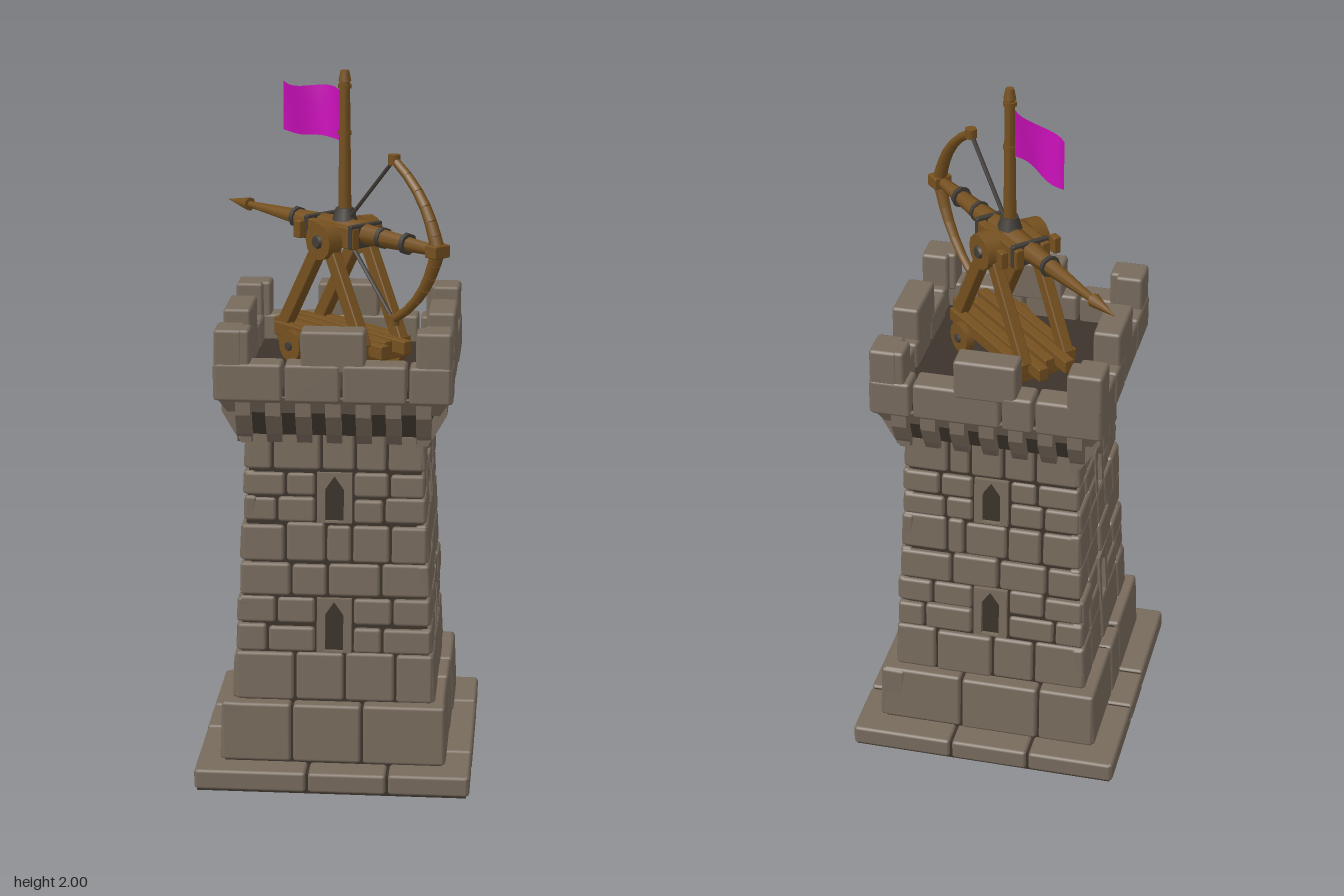
import * as THREE from 'three';
import { mergeGeometries } from 'three/addons/utils/BufferGeometryUtils.js';
import { RoundedBoxGeometry } from 'three/addons/geometries/RoundedBoxGeometry.js';

const material = (name, color) => {
  const m = new THREE.MeshStandardMaterial({ color });
  m.name = name;
  return m;
};

export function createModel() {
  const stone = material('stone', 0x786b5d);
  const mortar = material('mortar', 0x3b332b);
  const wood = material('wood', 0x75501f);
  const iron = material('iron', 0x413c36);
  const cloth = material('cloth', 0xc40fb4);
  cloth.side = THREE.DoubleSide;

  const model = new THREE.Group();
  const V = (x, y, z) => new THREE.Vector3(x, y, z);
  let seed = 7;
  const rand = () => (seed = (seed * 16807) % 2147483647) / 2147483647;

  function add(parent, name, geometry, mat) {
    const mesh = new THREE.Mesh(geometry, mat);
    mesh.name = name;
    parent.add(mesh);
    return mesh;
  }

  // ---- Tower: square plan standing on its diagonal ----
  const tower = new THREE.Group();
  tower.name = 'tower';
  model.add(tower);

  // Four-sided frustum; radii are corner distances
  function frustum(name, y0, y1, r0, r1, mat) {
    const g = new THREE.CylinderGeometry(r1, r0, y1 - y0, 4).toNonIndexed();
    g.computeVertexNormals();
    add(tower, name, g, mat).position.y = (y0 + y1) / 2;
  }
  // Turn a face-local geometry onto side k
  const onSide = (g, k) => g.rotateY(Math.PI / 4 + k * Math.PI / 2);

  // One stone block: u along the wall, s the distance of its outer face
  function block(u0, u1, y0, y1, s, depth, tilt, gap = 0.007) {
    const g = new RoundedBoxGeometry(u1 - u0 - gap, y1 - y0 - gap, depth, 1, 0.009);
    g.translate(0, 0, -depth / 2);
    g.rotateX(-tilt);
    return g.translate((u0 + u1) / 2, (y0 + y1) / 2, s);
  }
  // A course of uneven blocks round all sides, with an optional central opening
  function course(name, y0, y1, s, depth, tilt, count, jitter, opening = 0) {
    const parts = [];
    for (let k = 0; k < 4; k++) {
      const spans = opening ? [[-s, -opening], [opening, s]] : [[-s, s]];
      for (const [a, b] of spans) {
        const n = opening ? Math.ceil(count / 2) : count;
        const cuts = [a];
        for (let i = 1; i < n; i++) cuts.push(a + (b - a) * (i + (rand() - 0.5) * 0.55) / n);
        cuts.push(b);
        for (let i = 0; i < n; i++) {
          const out = s + (rand() - 0.5) * jitter;
          const top = y1 - (rand() - 0.5) * jitter;
          parts.push(onSide(block(cuts[i], cuts[i + 1], y0, top, out, depth, tilt), k));
        }
      }
    }
    add(tower, name, mergeGeometries(parts), stone);
  }

  // Footing and plinth
  frustum('footingCore', 0, 0.057, 0.54, 0.54, mortar);
  course('footing', 0.002, 0.068, 0.391, 0.11, 0, 3, 0.002);
  frustum('plinthCore', 0.05, 0.232, 0.438, 0.425, mortar);
  course('plinth', 0.066, 0.244, 0.32, 0.07, 0.04, 3, 0.008);

  // Tapering shaft
  const wall = y => 0.287 - (y - 0.24) * 0.05;
  frustum('shaftCore', 0.22, 1.1, 0.388, 0.328, mortar);
  const rows = [0.24, 0.385, 0.55, 0.65, 0.765, 0.915, 1.03];
  for (let i = 0; i < rows.length - 1; i++) {
    const mid = (rows[i] + rows[i + 1]) / 2;
    const slit = i === 1 || i === 4;
    const half = slit ? 2 : 1;
    for (let j = 0; j < half; j++) {
      const h = (rows[i + 1] - rows[i]) / half, y = rows[i] + j * h;
      course('shaftCourse', y, y + h, wall(slit ? y + h / 2 : mid), 0.035, 0.05,
        slit ? 4 : 4 + (i % 2), 0.009, slit ? 0.052 : 0);
    }
  }

  // Arrow slits: stone surround with a pointed opening
  function slitSurround(y0, y1) {
    const h = y1 - y0;
    const shape = new THREE.Shape();
    shape.moveTo(-0.049, 0.003).lineTo(0.049, 0.003).lineTo(0.049, h - 0.003).lineTo(-0.049, h - 0.003);
    const hole = new THREE.Path();
    hole.moveTo(-0.026, 0.008).lineTo(-0.026, h - 0.05).lineTo(0, h - 0.012)
      .lineTo(0.026, h - 0.05).lineTo(0.026, 0.008);
    shape.holes.push(hole);
    const g = new THREE.ExtrudeGeometry(shape, { depth: 0.03, bevelEnabled: false });
    return g.translate(0, 0, -0.03).rotateX(-0.05).translate(0, y0, wall(y0) + 0.001);
  }
  for (const [y0, y1] of [[0.385, 0.55], [0.765, 0.915]]) {
    const parts = [0, 1, 2, 3].map(k => onSide(slitSurround(y0, y1), k));
    add(tower, 'arrowSlits', mergeGeometries(parts), stone);
  }

  // Corbels below the parapet
  const bracket = new THREE.Shape();
  bracket.moveTo(0.23, 1.0).lineTo(0.258, 1.0).lineTo(0.278, 1.03).lineTo(0.312, 1.09)
    .lineTo(0.312, 1.13).lineTo(0.23, 1.13);
  const corbels = [];
  for (let k = 0; k < 4; k++) {
    for (let i = 0; i < 7; i++) {
      const w = 0.042, u = (i - 3) * 0.083;
      const g = new THREE.ExtrudeGeometry(bracket, { depth: w, bevelEnabled: false });
      corbels.push(onSide(g.translate(0, 0, -w / 2).rotateY(-Math.PI / 2).translate(u, 0, 0), k));
    }
  }
  add(tower, 'corbels', mergeGeometries(corbels), stone);
  frustum('corbelCore', 1.02, 1.11, 0.352, 0.4, mortar);
  frustum('parapetUnderside', 1.095, 1.145, 0.415, 0.455, stone);

  // Roof floor, parapet wall and merlons
  frustum('roofFloor', 1.12, 1.165, 0.43, 0.43, mortar);
  course('parapet', 1.13, 1.243, 0.328, 0.08, 0, 4, 0.005);
  const merlons = [];
  for (let k = 0; k < 4; k++) {
    for (const [a, b] of [[-0.328, -0.226], [-0.09, 0.09], [0.226, 0.328]]) {
      merlons.push(onSide(block(a, b, 1.215, 1.336, 0.328 - rand() * 0.004, 0.078, 0, 0.003), k));
    }
  }
  add(tower, 'merlons', mergeGeometries(merlons), stone);

  // ---- Siege engine on the roof ----
  const engine = new THREE.Group();
  engine.name = 'siegeEngine';
  model.add(engine);

  function beam(name, a, b, w, h, mat = wood) {
    const m = add(engine, name, new RoundedBoxGeometry(w, h, a.distanceTo(b), 1, 0.004), mat);
    m.position.copy(a).add(b).multiplyScalar(0.5);
    m.lookAt(b);
    return m;
  }
  function rod(name, a, b, r0, r1, mat = wood, sides = 8) {
    const g = new THREE.CylinderGeometry(r1, r0, a.distanceTo(b), sides);
    const m = add(engine, name, g, mat);
    m.position.copy(a).add(b).multiplyScalar(0.5);
    m.quaternion.setFromUnitVectors(V(0, 1, 0), b.clone().sub(a).normalize());
  }

  // Chassis planks, cross beams and wheels
  for (const [x, end] of [[0, 0.2], [0.042, 0.235], [0.078, 0.19]]) {
    for (const side of x ? [-1, 1] : [1]) {
      beam('chassisPlank', V(side * x, 1.245, -end), V(side * x, 1.245, end), 0.031, 0.04);
    }
  }
  for (const z of [-0.17, -0.11, 0.11, 0.17]) {
    beam('crossBeam', V(-0.088, 1.22, z), V(0.088, 1.22, z), 0.03, 0.03);
  }
  for (const side of [-1, 1]) {
    for (const z of [-0.1, 0.11]) {
      rod('wheel', V(side * 0.086, 1.21, z), V(side * 0.112, 1.21, z), 0.045, 0.045, wood, 14);
      rod('wheelHub', V(side * 0.11, 1.21, z), V(side * 0.119, 1.21, z), 0.014, 0.012, iron);
    }
    // Splayed legs meeting at the pivot
    for (const end of [-1, 1]) {
      beam('leg', V(side * 0.068, 1.25, end * 0.175), V(side * 0.068, 1.55, 0.012), 0.032, 0.04);
    }
    // Pivot discs and side rails
    rod('pivotDisc', V(side * 0.055, 1.53, 0.013), V(side * 0.1, 1.53, 0.013), 0.055, 0.052, wood, 12);
    rod('pivotCap', V(side * 0.1, 1.53, 0.013), V(side * 0.108, 1.53, 0.013), 0.02, 0.016, iron);
    beam('sideRail', V(side * 0.042, 1.545, -0.11), V(side * 0.042, 1.545, 0.11), 0.026, 0.06);
    beam('railBlock', V(side * 0.085, 1.55, -0.1), V(side * 0.085, 1.55, -0.07), 0.022, 0.05);
  }
  rod('axle', V(-0.09, 1.53, 0.013), V(0.09, 1.53, 0.013), 0.018, 0.018, iron);

  // Stock, bolt and its pointed head
  rod('stock', V(0, 1.553, 0), V(0, 1.555, 0.4), 0.036, 0.015);
  rod('bolt', V(0, 1.553, 0), V(0, 1.557, -0.42), 0.036, 0.009);
  rod('boltHead', V(0, 1.557, -0.412), V(0, 1.557, -0.51), 0.02, 0.001);
  beam('bowBlock', V(0, 1.555, 0.375), V(0, 1.555, 0.42), 0.055, 0.036);
  for (const z of [-0.09, 0.1]) {
    beam('ironStrap', V(-0.058, 1.55, z), V(0.058, 1.55, z), 0.016, 0.068, iron);
  }
  for (const z of [0.17, 0.27, -0.2]) {
    rod('binding', V(0, 1.555, z), V(0, 1.555, z + 0.014), 0.031, 0.03, iron);
  }

  // Upright bow with two string halves
  const bowArm = t => {
    const u = Math.abs(t);
    return V(0, 1.555 + 0.225 * Math.sign(t) * u, 0.4 - 0.08 * u - 0.1 * u * u * u);
  };
  const steps = 6;
  for (let i = -steps; i < steps; i++) {
    const a = i / steps, b = (i + 1) / steps;
    const r = t => 0.02 - 0.008 * Math.abs(t);
    rod('bowArm', bowArm(a), bowArm(b), r(a), r(b));
  }
  for (const s of [-1, 1]) {
    const tip = bowArm(s);
    rod('bowTip', V(0, tip.y - 0.014, tip.z), V(0, tip.y + 0.014, tip.z), 0.017, 0.017);
    rod('bowString', tip, V(0, 1.555 + s * 0.03, 0.03), 0.006, 0.006, iron, 6);
  }

  // Mast with collars
  rod('mast', V(0, 1.56, 0.013), V(0, 1.99, 0.013), 0.019, 0.014);
  rod('mastTop', V(0, 1.97, 0.013), V(0, 2.0, 0.013), 0.018, 0.012);
  rod('mastFoot', V(0, 1.58, 0.013), V(0, 1.615, 0.013), 0.036, 0.025, iron);
  for (const y of [1.82, 1.95]) {
    rod('mastCollar', V(0, y, 0.013), V(0, y + 0.012, 0.013), 0.019, 0.019);
  }

  // Rippling flag
  const flag = new THREE.PlaneGeometry(0.24, 0.145, 14, 5);
  const p = flag.attributes.position;
  for (let i = 0; i < p.count; i++) {
    const t = p.getX(i) / 0.24 + 0.5, v = p.getY(i) / 0.145;
    const wave = Math.sin(t * Math.PI * 2);
    p.setXYZ(i, -0.006 + wave * 0.02 * (0.3 + v) - 0.008 * t,
      1.873 + v * 0.14 + wave * 0.006, -0.003 - t * 0.235);
  }
  flag.computeVertexNormals();
  add(engine, 'flag', flag, cloth);

  return model;
}
